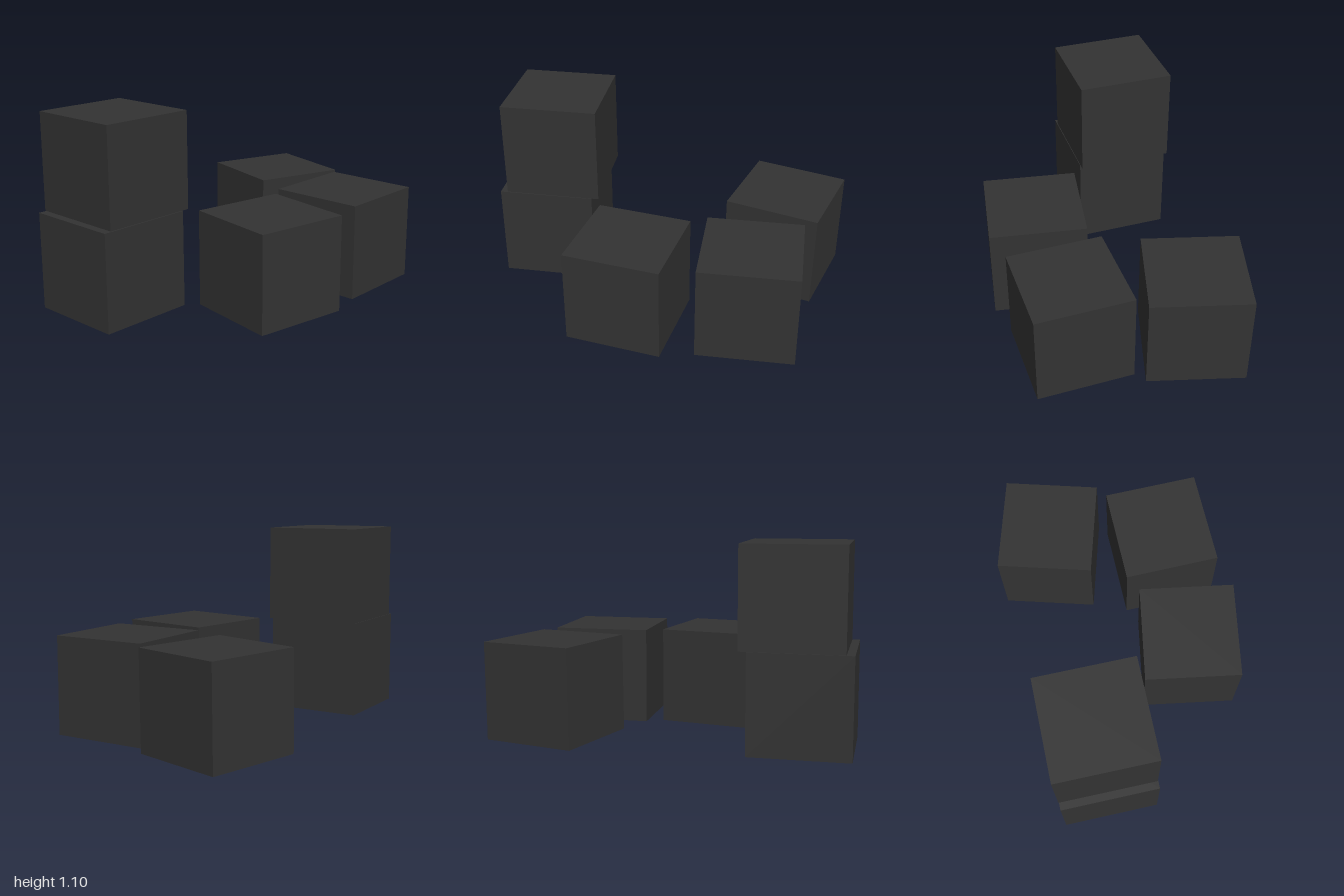
import * as THREE from 'three';

export function createModel() {
  const group = new THREE.Group();
  const size = 0.545;
  const geometry = new THREE.BoxGeometry(size, size, size);
  const material = new THREE.MeshStandardMaterial({ color: 0x333333, flatShading: true });

  // Loosely placed cubes: name, centre, turn about y, sideways tilt
  const cubes = [
    ['stackLowerCube', [-0.723, 0.28, -0.287], 0.015, 0],
    ['stackUpperCube', [-0.681, 0.827, -0.29], 0.012, 0],
    ['frontRightCube', [-0.153, 0.28, 0.348], -0.15, 0],
    ['frontLeftCube', [0.525, 0.28, 0.328], 0.027, 0],
    ['backLeftCube', [0.66, 0.277, -0.329], -0.257, -0.012],
  ];
  for (const [name, position, turn, tilt] of cubes) {
    const cube = new THREE.Mesh(geometry, material);
    cube.name = name;
    cube.position.set(...position);
    cube.rotation.set(0, turn, tilt);
    group.add(cube);
  }
  return group;
}
